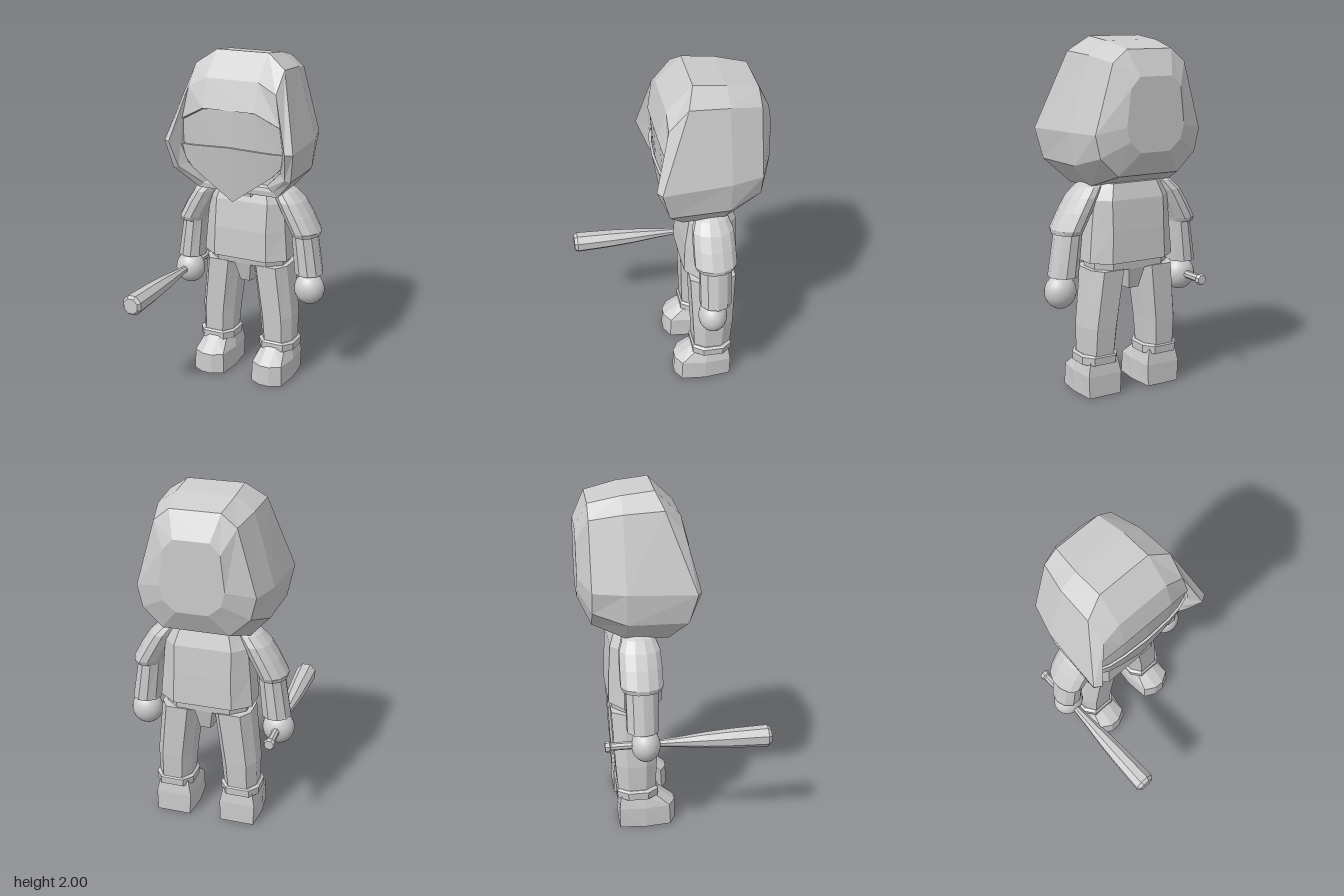
import * as THREE from 'three';

const grey = new THREE.MeshStandardMaterial({ color: 0xcccccc });

// Closed faceted skin through rings of [x, y, z] points, turned outward by its signed volume
function loft(rings) {
  const n = rings[0].length, tris = [];
  for (let r = 0; r < rings.length - 1; r++) {
    for (let i = 0; i < n; i++) {
      const j = (i + 1) % n, a = rings[r], b = rings[r + 1];
      tris.push([a[i], a[j], b[j]], [a[i], b[j], b[i]]);
    }
  }
  const last = rings[rings.length - 1];
  for (let i = 1; i < n - 1; i++) {
    tris.push([rings[0][0], rings[0][i + 1], rings[0][i]], [last[0], last[i], last[i + 1]]);
  }
  let volume = 0;
  for (const [a, b, c] of tris) {
    volume += a[0] * (b[1] * c[2] - b[2] * c[1]) + a[1] * (b[2] * c[0] - b[0] * c[2]) + a[2] * (b[0] * c[1] - b[1] * c[0]);
  }
  const pos = tris.flatMap((t) => (volume < 0 ? [t[0], t[2], t[1]] : t)).flat();
  const g = new THREE.BufferGeometry();
  g.setAttribute('position', new THREE.Float32BufferAttribute(pos, 3));
  g.computeVertexNormals();
  return g;
}

// Full ring from the points of its +x half
const mirrorRing = (half) => [...half, ...half.map(([x, y, z]) => [-x, y, z]).reverse()];

// Horizontal ellipse
const oval = (cx, y, cz, rx, rz, n) => Array.from({ length: n }, (_, i) => {
  const a = ((i + 0.5) / n) * Math.PI * 2;
  return [cx + Math.sin(a) * rx, y, cz + Math.cos(a) * rz];
});

// Horizontal octagon with cut corners
function octagon(cx, y, hx, zf, zb, cutX, cutZ) {
  return [[hx - cutX, zf], [hx, zf - cutZ], [hx, zb + cutZ], [hx - cutX, zb],
    [-hx + cutX, zb], [-hx, zb + cutZ], [-hx, zf - cutZ], [-hx + cutX, zf]].map(([x, z]) => [cx + x, y, z]);
}

function add(group, name, geometry) {
  const mesh = new THREE.Mesh(geometry, grey);
  mesh.name = name;
  group.add(mesh);
  return mesh;
}

export function createModel() {
  const model = new THREE.Group();
  model.name = 'hoodedFigure';

  // Hood: back cap, shell, rim, brow, opening edge and inner wall
  const hood = [
    [[0.1, 1.8, -0.53], [0.155, 1.74, -0.53], [0.18, 1.54, -0.53], [0.16, 1.46, -0.53], [0.09, 1.4, -0.53]],
    [[0.14, 1.94, -0.46], [0.225, 1.87, -0.46], [0.33, 1.5, -0.46], [0.3, 1.375, -0.46], [0.19, 1.27, -0.46]],
    [[0.16, 1.98, -0.28], [0.265, 1.905, -0.28], [0.38, 1.5, -0.28], [0.36, 1.32, -0.28], [0.25, 1.2, -0.28]],
    [[0.16, 2, -0.1], [0.275, 1.92, -0.06], [0.4, 1.49, 0.1], [0.37, 1.32, 0.055], [0.25, 1.19, -0.04]],
    [[0.16, 1.86, 0.04], [0.27, 1.8, 0.045], [0.36, 1.49, 0.125], [0.335, 1.33, 0.06], [0.22, 1.22, -0.035]],
    [[0.16, 1.695, 0.085], [0.305, 1.62, 0.06], [0.32, 1.47, 0.055], [0.29, 1.35, 0.02], [0.19, 1.24, -0.04]],
    [[0.15, 1.68, -0.06], [0.28, 1.6, -0.06], [0.3, 1.47, -0.06], [0.27, 1.35, -0.06], [0.18, 1.25, -0.06]],
  ];
  add(model, 'hood', loft(hood.map(mirrorRing)));

  // Face and scarf: strips across x given as [x, topY, topZ, bottomY, bottomZ]
  const strip = (half, depth) => loft(
    [...half.slice(1).reverse().map(([x, ...r]) => [-x, ...r]), ...half].map(([x, ty, tz, by, bz]) => [
      [x, ty, tz], [x, by, bz], [x, by, bz - depth], [x, ty, tz - depth],
    ]));
  add(model, 'face', strip([[0, 1.7, 0.08, 1.4, 0.065], [0.16, 1.69, 0.075, 1.4, 0.055], [0.31, 1.61, 0.045, 1.42, 0.025]], 0.1));
  add(model, 'scarf', strip([[0, 1.485, 0.09, 1.15, 0.03], [0.16, 1.477, 0.08, 1.265, 0.04],
    [0.25, 1.47, 0.065, 1.33, 0.04], [0.316, 1.465, 0.04, 1.4, 0.03]], 0.015));

  // Neck, shirt, hips and crotch
  add(model, 'neck', loft([oval(0, 1.15, -0.2, 0.14, 0.11, 8), oval(0, 1.26, -0.18, 0.15, 0.12, 8)]));
  add(model, 'shirt', loft([
    octagon(0, 0.77, 0.27, -0.065, -0.375, 0.1, 0.08),
    octagon(0, 0.95, 0.255, -0.07, -0.37, 0.09, 0.08),
    octagon(0, 1.12, 0.24, -0.09, -0.36, 0.075, 0.07),
    octagon(0, 1.21, 0.2, -0.12, -0.33, 0.06, 0.06),
  ]));
  add(model, 'hips', loft([
    octagon(0, 0.725, 0.235, -0.1, -0.355, 0.08, 0.07),
    octagon(0, 0.78, 0.24, -0.09, -0.36, 0.08, 0.07),
  ]));
  add(model, 'crotch', loft([
    octagon(0, 0.605, 0.04, -0.14, -0.32, 0.01, 0.03),
    octagon(0, 0.74, 0.065, -0.1, -0.355, 0.01, 0.03),
  ]));

  for (const s of [1, -1]) {
    const side = s > 0 ? 'left' : 'right';

    // Arm
    add(model, side + 'Forearm', loft([
      oval(s * 0.39, 0.7, -0.205, 0.085, 0.093, 10),
      oval(s * 0.355, 0.97, -0.205, 0.075, 0.095, 10),
    ]));
    add(model, side + 'Sleeve', loft([
      [0.368, 0.94, 0.082, 0.11], [0.365, 0.965, 0.088, 0.122], [0.315, 1.06, 0.088, 0.122],
      [0.27, 1.14, 0.082, 0.118], [0.225, 1.195, 0.072, 0.095], [0.2, 1.22, 0.055, 0.06],
    ].map(([x, y, rx, rz]) => oval(s * x, y, -0.205, rx, rz, 12))));
    const hand = add(model, side + 'Hand', new THREE.SphereGeometry(0.092, 24, 16));
    hand.position.set(s * 0.4, 0.607, -0.19);
    hand.scale.set(1, 1.05, 0.9);

    // Leg with turned-up cuff
    add(model, side + 'Leg', loft([
      octagon(s * 0.2, 0.2, 0.095, -0.12, -0.335, 0.04, 0.06),
      octagon(s * 0.193, 0.4, 0.105, -0.11, -0.35, 0.045, 0.065),
      octagon(s * 0.155, 0.73, 0.108, -0.095, -0.365, 0.045, 0.07),
    ]));
    add(model, side + 'Cuff', loft([
      octagon(s * 0.2, 0.19, 0.112, -0.108, -0.342, 0.045, 0.06),
      octagon(s * 0.2, 0.235, 0.114, -0.105, -0.345, 0.045, 0.06),
      octagon(s * 0.2, 0.245, 0.1, -0.115, -0.335, 0.04, 0.06),
    ]));

    // Shoe with a slightly pointed toe
    const shoe = [
      [0, [[0.1, -0.335], [0.115, -0.18], [0.1, -0.035], [0.03, 0]]],
      [0.125, [[0.105, -0.335], [0.115, -0.18], [0.095, -0.04], [0.03, -0.002]]],
      [0.2, [[0.09, -0.325], [0.095, -0.2], [0.075, -0.13], [0.03, -0.095]]],
      [0.23, [[0.08, -0.315], [0.085, -0.22], [0.07, -0.15], [0.03, -0.13]]],
    ];
    add(model, side + 'Shoe', loft(shoe.map(([y, half]) =>
      mirrorRing(half.map(([x, z]) => [x, y, z])).map(([x, py, z]) => [x + s * 0.195, py, z]))));
  }

  // Bat held forward in the right hand, as [z, radius]
  const bat = [[-0.42, 0.027], [-0.412, 0.033], [-0.395, 0.033], [-0.388, 0.023], [-0.1, 0.022],
    [0, 0.03], [0.15, 0.046], [0.3, 0.056], [0.505, 0.063], [0.525, 0.048]];
  add(model, 'bat', loft(bat.map(([z, r]) =>
    oval(0, 0, 0, r, r, 8).map(([x, , w]) => [x - 0.402, w + 0.613, z]))));

  return model;
}
